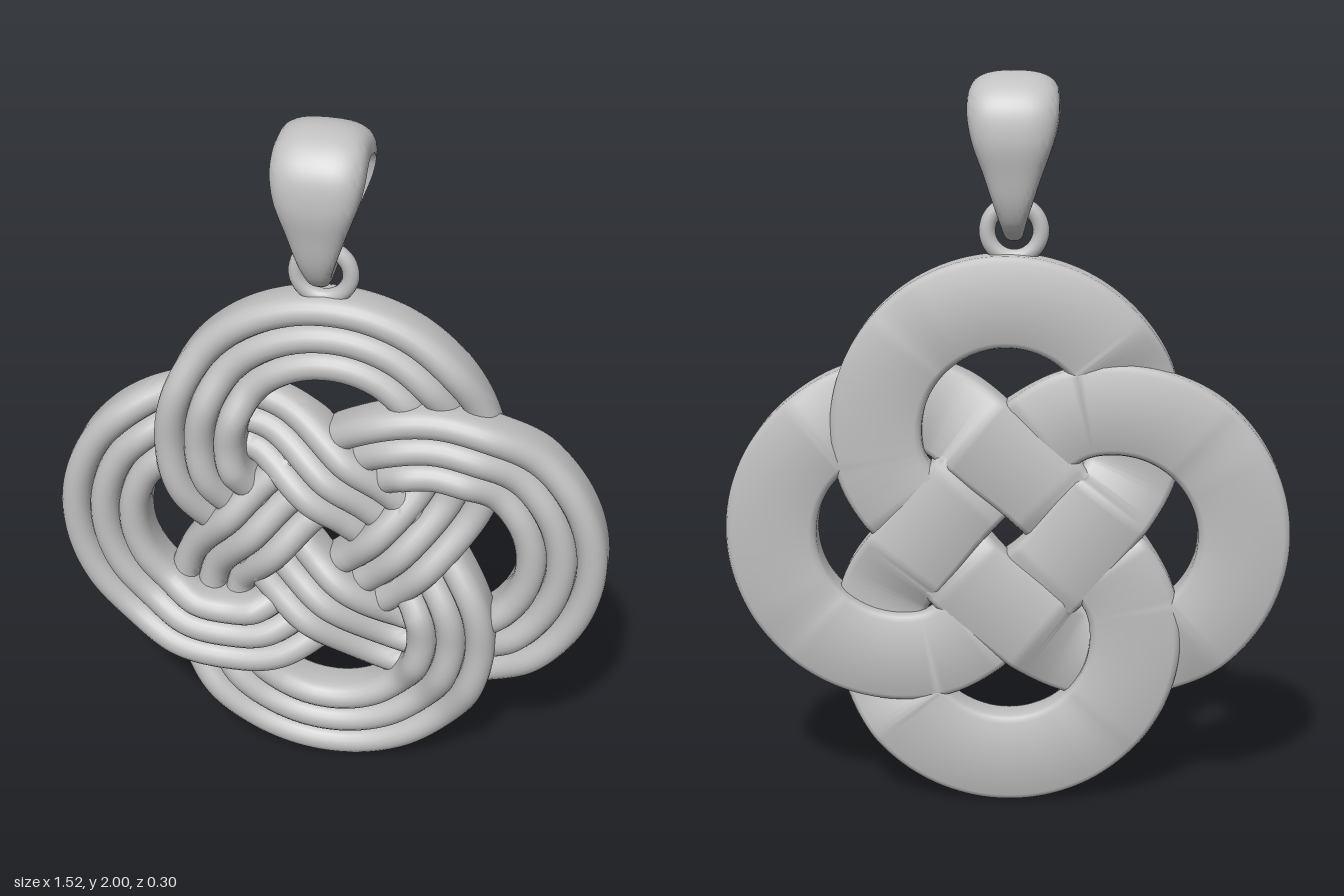
import * as THREE from 'three';
import { toCreasedNormals } from 'three/addons/utils/BufferGeometryUtils.js';

// Closed loft: rings of equal length, joined round and end to end.
function loft(rings) {
  const n = rings.length, m = rings[0].length, index = [];
  for (let i = 0; i < n; i++) {
    for (let j = 0; j < m; j++) {
      const i2 = (i + 1) % n, j2 = (j + 1) % m;
      const a = i * m + j, b = i * m + j2, c = i2 * m + j, d = i2 * m + j2;
      index.push(a, b, c, b, d, c);
    }
  }
  const geo = new THREE.BufferGeometry().setFromPoints(rings.flat());
  geo.setIndex(index);
  return toCreasedNormals(geo, 0.8);
}

// Centre line of the four-lobed knot; z carries the over/under weave.
function knotPath() {
  const R = 0.35, C = 0.288, OVER = 0.034, UNDER = -0.032;
  const quarter = [];
  for (let deg = 110; deg >= -110; deg -= 20) {
    const a = THREE.MathUtils.degToRad(deg);
    const z = deg > 60 ? OVER : deg < -60 ? UNDER : 0;
    quarter.push([C + R * Math.cos(a), R * Math.sin(a), z]);
  }
  quarter.push([0, -0.208, OVER], [-0.113, -0.113, 0], [-0.208, 0, UNDER]);
  const points = [];
  for (let q = 0; q < 4; q++) {
    for (const p of quarter) {
      points.push(new THREE.Vector3(...p).applyAxisAngle(new THREE.Vector3(0, 0, 1), q * Math.PI / 2));
    }
  }
  const path = new THREE.CatmullRomCurve3(points, true);
  path.arcLengthDivisions = 2000;
  return path;
}

// Band section: flat back with eased corners, three round strands in front.
function bandProfile() {
  const pts = [[-0.105, -0.065], [0.105, -0.065], [0.118, -0.058], [0.123, -0.045]];
  for (const c of [0.082, 0, -0.082]) {
    for (let k = c === 0.082 ? 0 : 1; k <= 9; k++) {
      const a = k / 9 * Math.PI;
      pts.push([c + 0.041 * Math.cos(a), 0.016 + 0.044 * Math.sin(a)]);
    }
  }
  pts.push([-0.123, -0.045], [-0.118, -0.058]);
  return pts;
}

function knotGeometry() {
  const path = knotPath(), profile = bandProfile(), rings = [], N = 640;
  for (let i = 0; i < N; i++) {
    const p = path.getPointAt(i / N), t = path.getTangentAt(i / N);
    const len = Math.hypot(t.x, t.y), nx = -t.y / len, ny = t.x / len;
    // the back only lifts where the band passes over, so it stays level
    rings.push(profile.map(([u, z]) => new THREE.Vector3(
      p.x + nx * u, p.y + ny * u, z + (z > 0 ? p.z : Math.max(0, p.z)))));
  }
  return loft(rings);
}

// Closed symmetric curve from half a profile of [z, y, halfWidth].
function mirroredCurve(half) {
  const other = half.slice(1, -1).reverse().map(([z, y, w]) => [-z, y, w]);
  return new THREE.CatmullRomCurve3(
    [...half, ...other].map(p => new THREE.Vector3(...p)), true, 'catmullrom', 0.5);
}

// Tapered hanging loop: domed outside, flat inside.
function bailGeometry() {
  const widths = [0.118, 0.12, 0.118, 0.105, 0.076, 0.052, 0.037, 0.03, 0.028];
  const withWidth = list => list.map(([z, y], i) => [z, y, widths[i]]);
  const outer = mirroredCurve(withWidth([[0, 2], [0.078, 1.98], [0.135, 1.92], [0.152, 1.83],
    [0.14, 1.74], [0.123, 1.66], [0.092, 1.6], [0.046, 1.567], [0, 1.558]]));
  const inner = mirroredCurve(withWidth([[0, 1.92], [0.045, 1.91], [0.075, 1.875], [0.085, 1.82],
    [0.083, 1.74], [0.08, 1.67], [0.055, 1.63], [0.026, 1.607], [0, 1.602]]));
  const rings = [], N = 96, M = 20;
  for (let i = 0; i < N; i++) {
    const o = outer.getPoint(i / N), n = inner.getPoint(i / N), ring = [];
    for (let k = 0; k <= M; k++) {
      const a = k / M * Math.PI, c = Math.cos(a);
      const x = Math.sign(c) * Math.pow(Math.abs(c), 0.75) * o.z;
      const s = Math.pow(Math.max(0, Math.sin(a)), 0.65);
      ring.push(new THREE.Vector3(x, n.y + (o.y - n.y) * s, n.x + (o.x - n.x) * s));
    }
    rings.push(ring);
  }
  return loft(rings);
}

export function createModel() {
  const group = new THREE.Group();
  const silver = new THREE.MeshStandardMaterial({ color: 0xc0c0c0 });
  silver.name = 'silver';
  const add = (name, geometry, x, y) => {
    const mesh = new THREE.Mesh(geometry, silver);
    mesh.name = name;
    mesh.position.set(x, y, 0);
    group.add(mesh);
  };
  add('wovenKnot', knotGeometry(), 0, 0.762);
  add('jumpRing', new THREE.TorusGeometry(0.071, 0.022, 16, 48), -0.018, 1.583);
  add('bail', bailGeometry(), -0.018, 0);
  return group;
}
